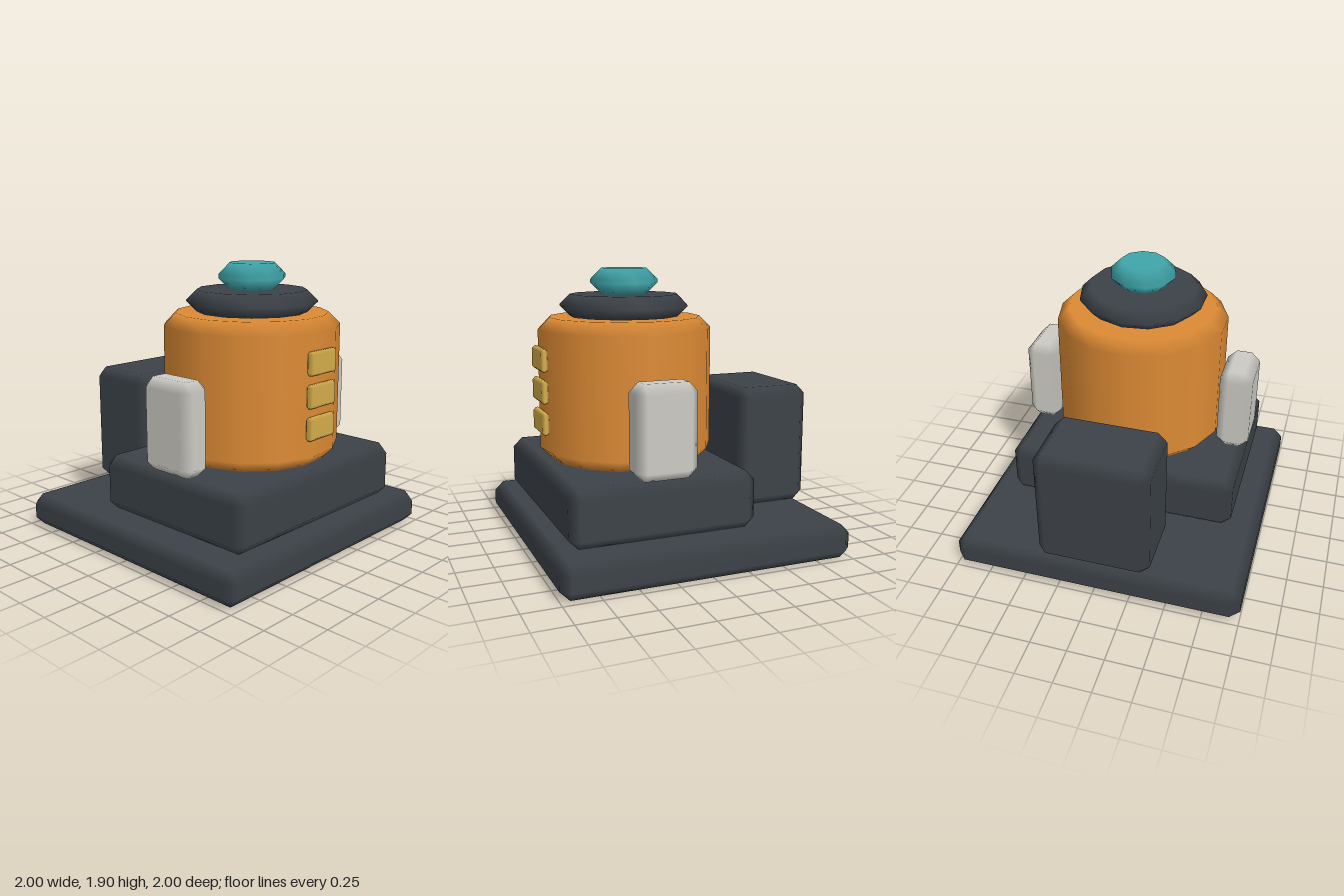
import * as THREE from 'three';
import { ConvexGeometry } from 'three/addons/geometries/ConvexGeometry.js';

const paint = (name, color) => {
  const m = new THREE.MeshStandardMaterial({ color });
  m.name = name;
  return m;
};

// Chamfered box: flat faces, with normals blending softly over the chamfers
function bevelBox(w, h, d, b) {
  const half = [w / 2, h / 2, d / 2];
  const points = [];
  for (const sx of [-1, 1]) for (const sy of [-1, 1]) for (const sz of [-1, 1]) {
    for (let axis = 0; axis < 3; axis++) {
      const c = [sx, sy, sz].map((s, i) => s * (half[i] - (i === axis ? 0 : b)));
      points.push(new THREE.Vector3(...c));
    }
  }
  const geo = new ConvexGeometry(points);
  const pos = geo.attributes.position, nor = geo.attributes.normal;
  for (let i = 0; i < pos.count; i++) {
    const p = [pos.getX(i), pos.getY(i), pos.getZ(i)];
    nor.setXYZ(i, ...p.map((v, k) => (Math.abs(v) > half[k] - b / 2 ? Math.sign(v) : 0)));
  }
  return geo;
}

// Chamfered drum standing from y0 to y1, with a corner on the +x side
function bevelDrum(r, y0, y1, b, sides, bevelY = b) {
  const profile = [
    [0, y0], [r - b, y0], [r, y0 + bevelY], [r, y1 - bevelY], [r - b, y1], [0, y1],
  ].map(([x, y]) => new THREE.Vector2(x, y));
  const geo = new THREE.LatheGeometry(profile, sides, Math.PI / 2);
  const pos = geo.attributes.position, nor = geo.attributes.normal;
  for (let i = 0; i < pos.count; i++) {
    const x = pos.getX(i), z = pos.getZ(i), q = Math.hypot(x, z);
    if (q > r - b / 2) nor.setXYZ(i, x / q, 0, z / q);
    else nor.setXYZ(i, 0, pos.getY(i) > (y0 + y1) / 2 ? 1 : -1, 0);
  }
  return geo;
}

export function createModel() {
  const dark = paint('darkSlate', 0x3c4248);
  const orange = paint('orange', 0xdc8a34);
  const teal = paint('teal', 0x3fa5aa);
  const pale = paint('paleGrey', 0xcbcac3);
  const gold = paint('gold', 0xd3ab4a);

  const model = new THREE.Group();
  model.name = 'machine';
  const add = (name, geo, mat, x = 0, y = 0, z = 0) => {
    const mesh = new THREE.Mesh(geo, mat);
    mesh.name = name;
    mesh.position.set(x, y, z);
    model.add(mesh);
  };

  // Stepped base and rear block
  add('base', bevelBox(2, 0.23, 2, 0.065), dark, 0, 0.115, 0);
  add('plinth', bevelBox(1.61, 0.385, 1.265, 0.065), dark, 0, 0.4225, 0.252);
  add('rearBlock', bevelBox(0.77, 0.85, 0.54, 0.065), dark, 0, 0.655, -0.73);

  // Drum body, collar and knob share one axis
  const axisZ = 0.25;
  add('body', bevelDrum(0.595, 0.615, 1.58, 0.08, 15), orange, 0, 0, axisZ);
  add('collar', bevelDrum(0.44, 1.58, 1.73, 0.07, 13), dark, 0, 0, axisZ);
  add('knob', bevelDrum(0.228, 1.73, 1.905, 0.075, 10), teal, 0, 0, axisZ);

  // Side pods
  for (const [name, s] of [['leftPod', 1], ['rightPod', -1]]) {
    add(name, bevelBox(0.23, 0.615, 0.42, 0.062), pale, s * 0.71, 0.9225, axisZ);
  }

  // Column of front buttons
  for (let i = 0; i < 3; i++) {
    add('button' + (i + 1), bevelBox(0.265, 0.156, 0.05, 0.018), gold, 0, 0.889 + i * 0.212, 0.847);
  }
  return model;
}
